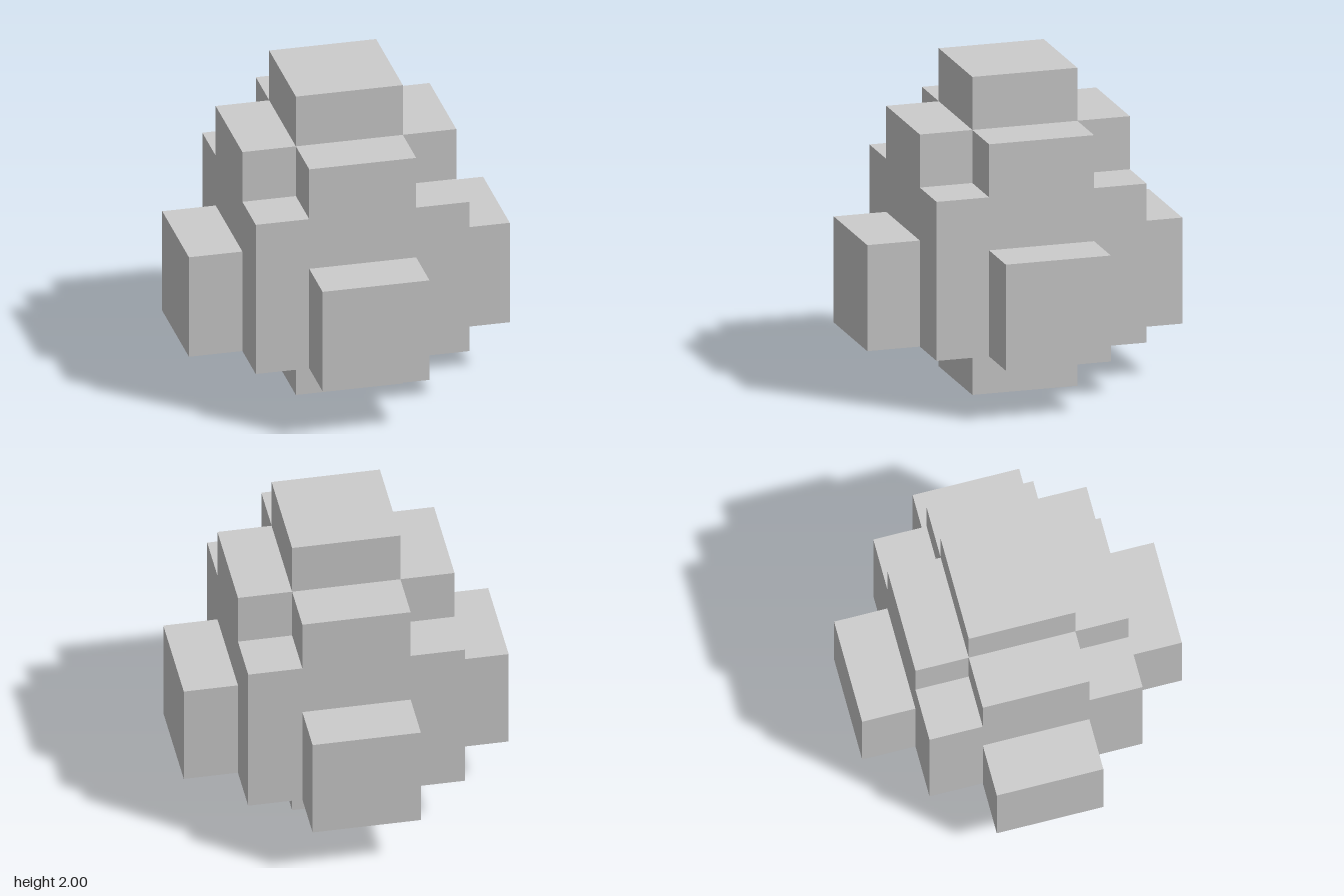
import * as THREE from 'three';

const U = 1 / 3; // edge of one grid cell

export function createModel() {
  const model = new THREE.Group();
  model.name = 'steppedBlock';
  const material = new THREE.MeshStandardMaterial({ color: 0xcccccc, flatShading: true });

  // Box sized in cells, standing on level y
  function block(name, parent, [w, h, d], [x, y, z]) {
    const mesh = new THREE.Mesh(new THREE.BoxGeometry(w * U, h * U, d * U), material);
    mesh.position.set(x * U, (y + h / 2) * U, z * U);
    mesh.name = name;
    parent.add(mesh);
  }

  // Central stack: foot, square body, top column
  block('foot', model, [2, 1, 2], [0, 0, 0]);
  block('body', model, [4, 3, 4], [0, 1, 0]);
  block('topColumn', model, [2, 2, 2], [0, 4, 0]);

  // Each of the four sides has a low projecting block and a high shoulder
  ['front', 'left', 'back', 'right'].forEach((side, i) => {
    const group = new THREE.Group();
    group.name = side + 'Side';
    group.rotation.y = (i * Math.PI) / 2;
    block(side + 'Arm', group, [2, 2, 1], [0, 1, 2.5]);
    block(side + 'Shoulder', group, [2, 1, 1], [0, 4, 1.5]);
    model.add(group);
  });

  return model;
}
